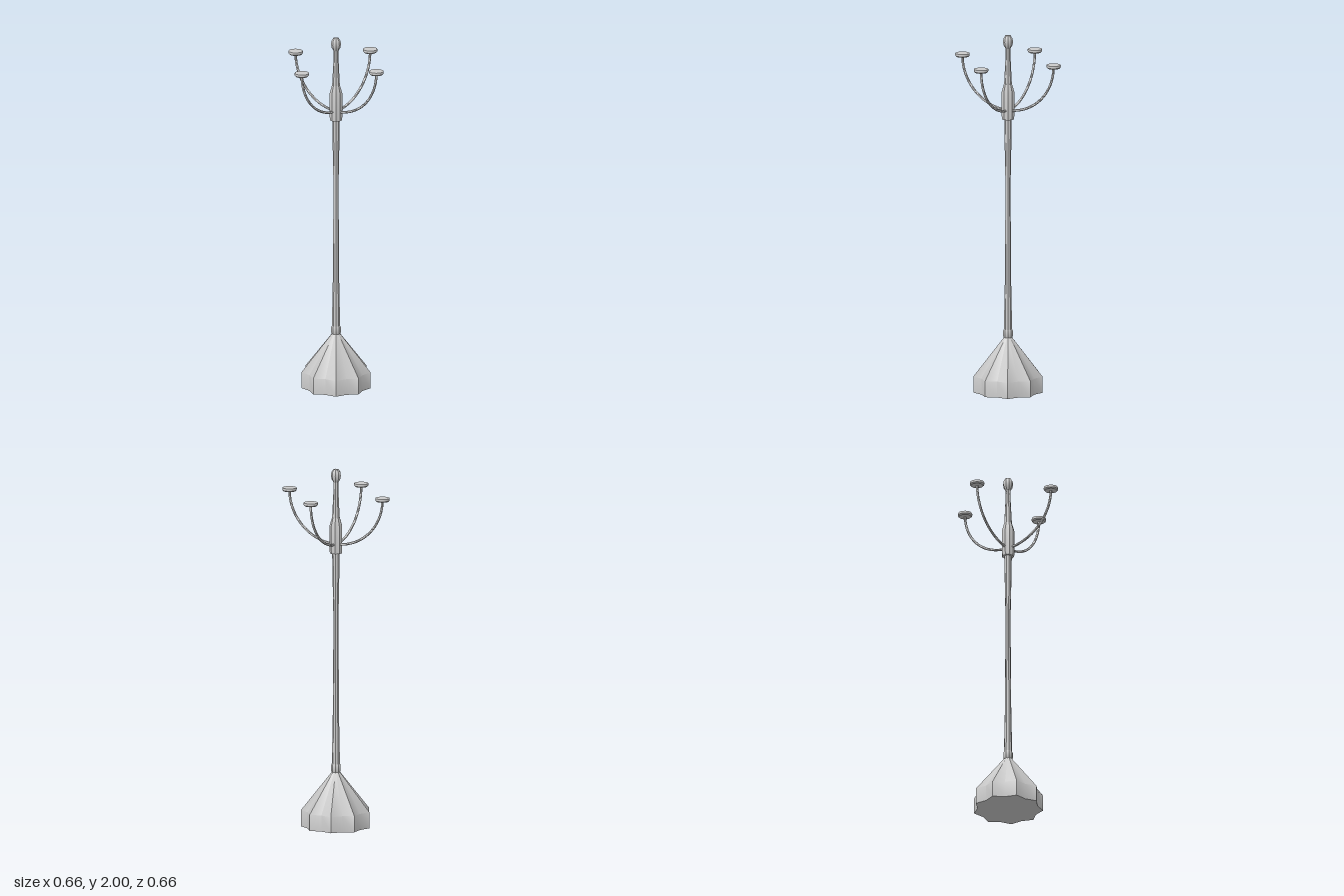
import * as THREE from 'three';
import { toCreasedNormals } from 'three/addons/utils/BufferGeometryUtils.js';

const grey = new THREE.MeshStandardMaterial({ color: 0xcccccc, side: THREE.DoubleSide });

function mesh(name, geometry, crease = 0.6) {
  const m = new THREE.Mesh(toCreasedNormals(geometry, crease), grey);
  m.name = name;
  return m;
}

const lathe = (profile, sides, start = 0) =>
  new THREE.LatheGeometry(profile.map(([r, y]) => new THREE.Vector2(r, y)), sides, start);

// Nine-pointed fluted body: every second column of a lathe is drawn inward, one ridge on -x
function fluted(name, profile, valley = 0.87) {
  const g = lathe(profile, 18, -Math.PI / 2);
  const p = g.attributes.position;
  for (let i = 0; i < p.count; i++) {
    if (Math.floor(i / profile.length) % 2) {
      p.setX(i, p.getX(i) * valley);
      p.setZ(i, p.getZ(i) * valley);
    }
  }
  return mesh(name, g);
}

export function createModel() {
  const model = new THREE.Group();
  model.name = 'coatStand';

  // Foot with a conical top
  model.add(fluted('base', [[0, 0], [0.193, 0], [0.193, 0.09], [0.018, 0.31], [0, 0.31]]));

  // Collar at the foot of the pole
  model.add(fluted('collar', [[0, 0.295], [0.022, 0.3], [0.027, 0.312], [0.027, 0.34], [0.021, 0.355], [0, 0.355]]));

  // Slim pole, narrowest in the upper middle
  model.add(fluted('pole', [[0.023, 0.35], [0.018, 0.6], [0.015, 1.0], [0.015, 1.2], [0.02, 1.45], [0.021, 1.54]]));

  // Sleeve that holds the arms
  model.add(fluted('sleeve', [[0, 1.53], [0.034, 1.53], [0.035, 1.55], [0.035, 1.685], [0.022, 1.73], [0, 1.73]]));

  // Tapering neck and knob
  model.add(fluted('neck', [[0.022, 1.72], [0.018, 1.8], [0.014, 1.88], [0.013, 1.935]]));
  model.add(fluted('finial', [[0, 1.925], [0.014, 1.928], [0.024, 1.945], [0.028, 1.965], [0.025, 1.985], [0.015, 2], [0, 2]]));

  // Four upswept arms, each ending in a round disc
  const path = new THREE.CatmullRomCurve3(
    Array.from({ length: 13 }, (_, i) => {
      const a = (i / 12) * Math.PI / 2;
      return new THREE.Vector3(0.29 * Math.sin(a), 1.855 - 0.275 * Math.cos(a), 0);
    })
  );
  const disc = [[0, 1.848], [0.033, 1.849], [0.039, 1.855], [0.04, 1.862], [0.039, 1.868], [0, 1.87]];
  for (let i = 0; i < 4; i++) {
    const arm = new THREE.Group();
    arm.name = 'arm' + (i + 1);
    arm.add(mesh('armTube', new THREE.TubeGeometry(path, 24, 0.007, 8), 1));
    const cap = mesh('armDisc', lathe(disc, 32));
    cap.position.x = 0.29;
    arm.add(cap);
    arm.rotation.y = i * Math.PI / 2;
    model.add(arm);
  }
  return model;
}
